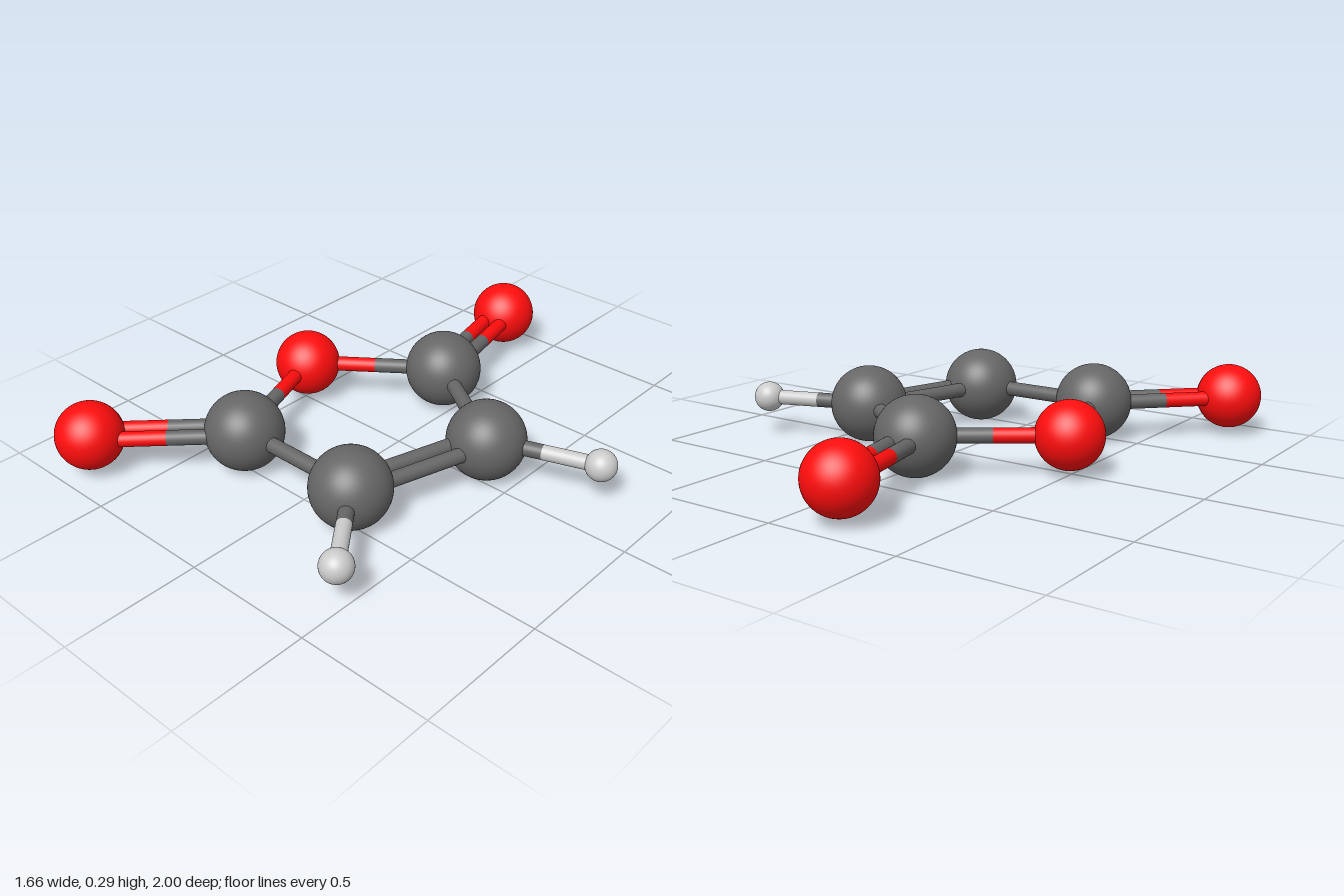
import * as THREE from 'three';

const LEVEL = 0.147;        // height of the flat molecule's plane
const BOND_RADIUS = 0.028;
const DOUBLE_OFFSET = 0.035; // half the spacing of a double bond's two rods

const elements = {
  carbon: { radius: 0.146, material: new THREE.MeshStandardMaterial({ color: 0x666666 }) },
  oxygen: { radius: 0.125, material: new THREE.MeshStandardMaterial({ color: 0xff0d0d }) },
  hydrogen: { radius: 0.058, material: new THREE.MeshStandardMaterial({ color: 0xcccccc }) },
};

// name: [element, x, z]
const atoms = {
  ringOxygen: ['oxygen', -0.5, -0.02],
  backCarbon: ['carbon', -0.07, -0.34],
  leftCarbon: ['carbon', 0.373, -0.05],
  frontLeftCarbon: ['carbon', 0.214, 0.483],
  frontRightCarbon: ['carbon', -0.314, 0.483],
  backOxygen: ['oxygen', -0.185, -0.875],
  frontOxygen: ['oxygen', -0.706, 0.873],
  leftHydrogen: ['hydrogen', 0.769, -0.186],
  frontHydrogen: ['hydrogen', 0.468, 0.812],
};

// [from, to, order]
const bonds = [
  ['ringOxygen', 'backCarbon', 1],
  ['backCarbon', 'leftCarbon', 1],
  ['leftCarbon', 'frontLeftCarbon', 2],
  ['frontLeftCarbon', 'frontRightCarbon', 1],
  ['frontRightCarbon', 'ringOxygen', 1],
  ['backCarbon', 'backOxygen', 2],
  ['frontRightCarbon', 'frontOxygen', 2],
  ['leftCarbon', 'leftHydrogen', 1],
  ['frontLeftCarbon', 'frontHydrogen', 1],
];

const position = (name) => new THREE.Vector3(atoms[name][1], LEVEL, atoms[name][2]);

// Open rod between two points
function rod(start, end, material, name) {
  const direction = end.clone().sub(start);
  const geometry = new THREE.CylinderGeometry(BOND_RADIUS, BOND_RADIUS, direction.length(), 24, 1, true);
  const mesh = new THREE.Mesh(geometry, material);
  mesh.position.copy(start).add(end).multiplyScalar(0.5);
  mesh.quaternion.setFromUnitVectors(new THREE.Vector3(0, 1, 0), direction.normalize());
  mesh.name = name;
  return mesh;
}

// Bond of one or two rods, each half coloured like its nearer atom
function createBond(from, to, order) {
  const group = new THREE.Group();
  group.name = order === 2 ? 'doubleBond' : 'singleBond';
  const a = position(from);
  const b = position(to);
  const side = b.clone().sub(a).cross(new THREE.Vector3(0, 1, 0)).normalize();
  for (const offset of order === 2 ? [-DOUBLE_OFFSET, DOUBLE_OFFSET] : [0]) {
    const start = a.clone().addScaledVector(side, offset);
    const end = b.clone().addScaledVector(side, offset);
    const middle = start.clone().lerp(end, 0.5);
    group.add(rod(start, middle, elements[atoms[from][0]].material, `${atoms[from][0]}BondHalf`));
    group.add(rod(middle, end, elements[atoms[to][0]].material, `${atoms[to][0]}BondHalf`));
  }
  return group;
}

export function createModel() {
  const model = new THREE.Group();
  model.name = 'ballAndStickMolecule';

  // Atoms
  for (const [name, [element]] of Object.entries(atoms)) {
    const { radius, material } = elements[element];
    const ball = new THREE.Mesh(new THREE.SphereGeometry(radius, 48, 32), material);
    ball.position.copy(position(name));
    ball.name = name;
    model.add(ball);
  }

  // Bonds
  for (const bond of bonds) model.add(createBond(...bond));

  return model;
}
